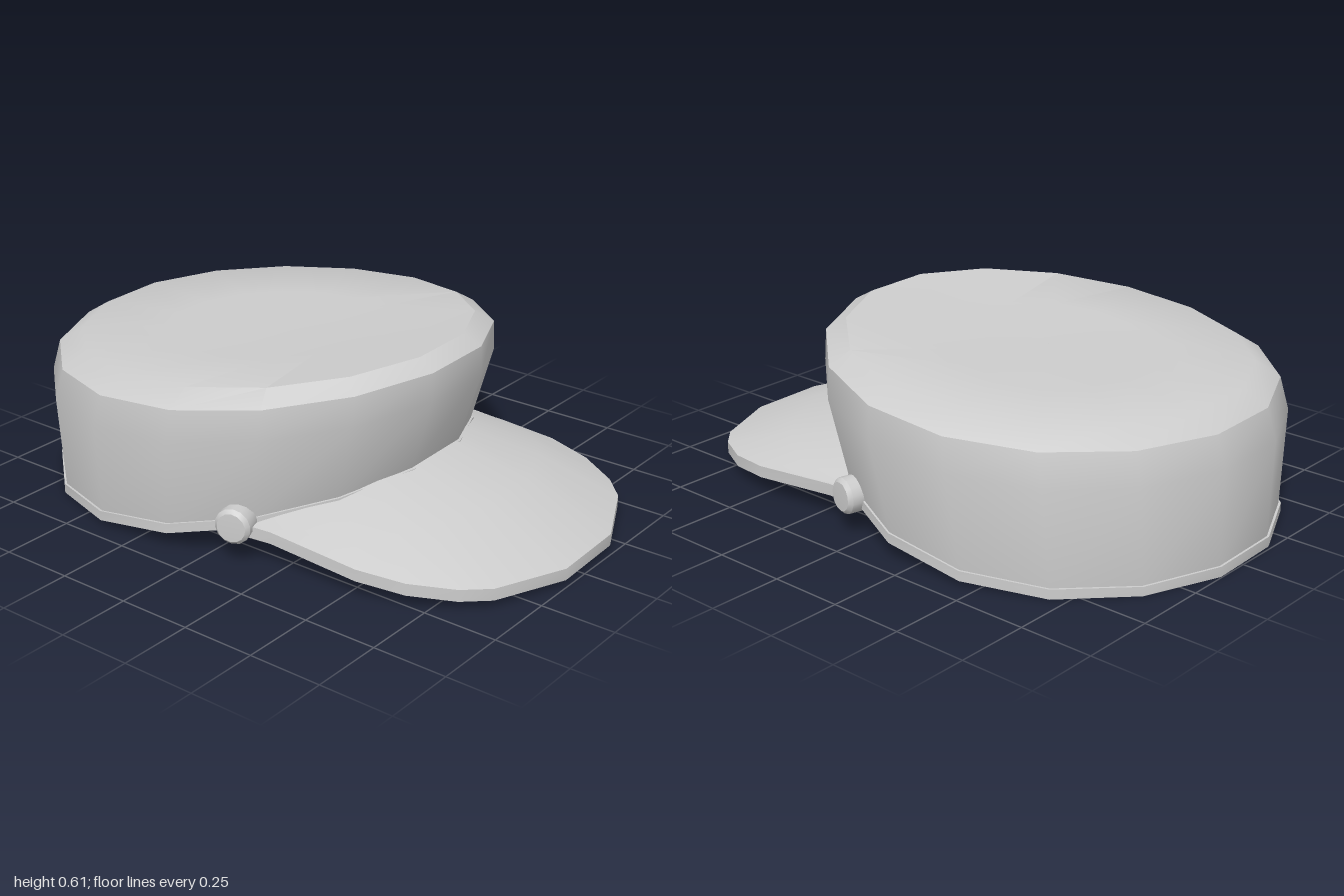
import * as THREE from 'three';
import { toCreasedNormals } from 'three/addons/utils/BufferGeometryUtils.js';

const SIDES = 16;
const cloth = new THREE.MeshStandardMaterial({ color: 0xcccccc });
cloth.name = 'greyCloth';

// Height around a ring, given at its front, sides and back
function heightAt(a, front, side, back) {
  const c = Math.cos(a) / 0.98;
  return Math.max(0, side + (front - back) / 2 * c + ((front + back) / 2 - side) * c * c);
}

// Point on an oval around the head; angle 0 is the front, positive towards +x
function ovalPoint(a, rx, rz, cz, front, side, back) {
  return [rx * Math.sin(a), heightAt(a, front, side, back), cz + rz * Math.cos(a)];
}

function ring(...oval) {
  const points = [];
  for (let i = 0; i <= SIDES; i++) {
    points.push(ovalPoint((i % SIDES + 0.5) / SIDES * Math.PI * 2, ...oval));
  }
  return points;
}

// Skin a list of point rows
function loft(rows, crease) {
  const n = rows[0].length;
  const index = [];
  for (let i = 0; i < rows.length - 1; i++) {
    for (let j = 0; j < n - 1; j++) {
      const a = i * n + j, b = a + 1, c = b + n, d = a + n;
      index.push(a, b, c, a, c, d);
    }
  }
  const geometry = new THREE.BufferGeometry();
  geometry.setAttribute('position', new THREE.Float32BufferAttribute(rows.flat(2), 3));
  geometry.setIndex(index);
  return toCreasedNormals(geometry, crease);
}

function part(name, geometry) {
  const mesh = new THREE.Mesh(geometry, cloth);
  mesh.name = name;
  return mesh;
}

// Hollow crown: lining from the ceiling down, then the outside up to the dished top
function crownGeometry() {
  return loft([
    ring(0.001, 0.001, -0.25, 0.5, 0.5, 0.5),
    ring(0.62, 0.65, -0.235, 0.57, 0.49, 0.465),
    ring(0.69, 0.71, -0.25, 0.48, 0.38, 0.35),
    ring(0.655, 0.686, -0.283, 0.235, 0.045, 0.015),
    ring(0.687, 0.716, -0.283, 0.235, 0.045, 0.015),
    ring(0.732, 0.757, -0.25, 0.48, 0.38, 0.35),
    ring(0.715, 0.74, -0.235, 0.577, 0.487, 0.455),
    ring(0.635, 0.67, -0.225, 0.612, 0.538, 0.506),
    ring(0.35, 0.37, -0.225, 0.568, 0.537, 0.514),
    ring(0.001, 0.001, -0.225, 0.535, 0.535, 0.535),
  ], 0.6);
}

// Thin welt around the bottom opening
function rimGeometry() {
  const inner = [0.65, 0.68, -0.283], outer = [0.697, 0.724, -0.283];
  const low = [0.2, 0.035, 0], high = [0.232, 0.068, 0.034];
  return loft([
    ring(...inner, ...high), ring(...inner, ...low),
    ring(...outer, ...low), ring(...outer, ...high), ring(...inner, ...high),
  ], 0.6);
}

// Arched peak running from the crown to its rounded outer edge
function brimGeometry() {
  // Half of the stations: angle on the crown, then x, y, z of the outer edge
  const half = [
    [9, 0.14, 0.06, 0.99], [22, 0.385, 0.066, 0.885], [33, 0.465, 0.073, 0.81],
    [42, 0.545, 0.085, 0.675], [50, 0.585, 0.1, 0.52], [57, 0.585, 0.125, 0.2],
    [64, 0.62, 0.14, 0.05],
  ];
  const mirrored = half.map(([a, x, y, z]) => [-a, -x, y, z]).reverse();
  const stations = [...mirrored, ...half];
  const outer = stations.map(([, x, y, z]) => [x, y, z]);
  const inner = stations.map(([a]) =>
    ovalPoint(a * Math.PI / 180, 0.66, 0.69, -0.283, 0.238, 0.05, 0.01));
  const middle = outer.map((p, i) => {
    const q = inner[i];
    const bump = 0.08 * Math.max(0, Math.hypot(p[0] - q[0], p[2] - q[2]) - 0.25);
    return [(p[0] + q[0]) / 2, (p[1] + q[1]) / 2 + bump, (p[2] + q[2]) / 2];
  });
  const lower = (row) => row.map(([x, y, z]) => [x, y - 0.04, z]);
  return loft([
    lower(inner), lower(middle), lower(outer), outer, middle, inner,
  ], 0.6);
}

// Round button with a bevelled face
function buttonGeometry() {
  const profile = [[0.001, -0.035], [0.06, -0.035], [0.06, 0.02], [0.048, 0.033], [0.001, 0.035]]
    .map(([r, y]) => new THREE.Vector2(r, y));
  return toCreasedNormals(new THREE.LatheGeometry(profile, 14), 0.6);
}

export function createModel() {
  const cap = new THREE.Group();
  cap.name = 'peakedCap';
  cap.add(
    part('crown', crownGeometry()),
    part('rim', rimGeometry()),
    part('brim', brimGeometry()),
  );

  for (const side of [1, -1]) {
    const button = part(side > 0 ? 'leftButton' : 'rightButton', buttonGeometry());
    button.position.set(side * 0.615, 0.132, 0.085);
    const axis = new THREE.Vector3(side * 0.96, 0, 0.27).normalize();
    button.quaternion.setFromUnitVectors(new THREE.Vector3(0, 1, 0), axis);
    cap.add(button);
  }

  // The cap sits turned very slightly
  cap.rotation.y = 0.03;
  cap.position.x = 0.0075;
  const model = new THREE.Group();
  model.name = 'model';
  model.add(cap);
  return model;
}
